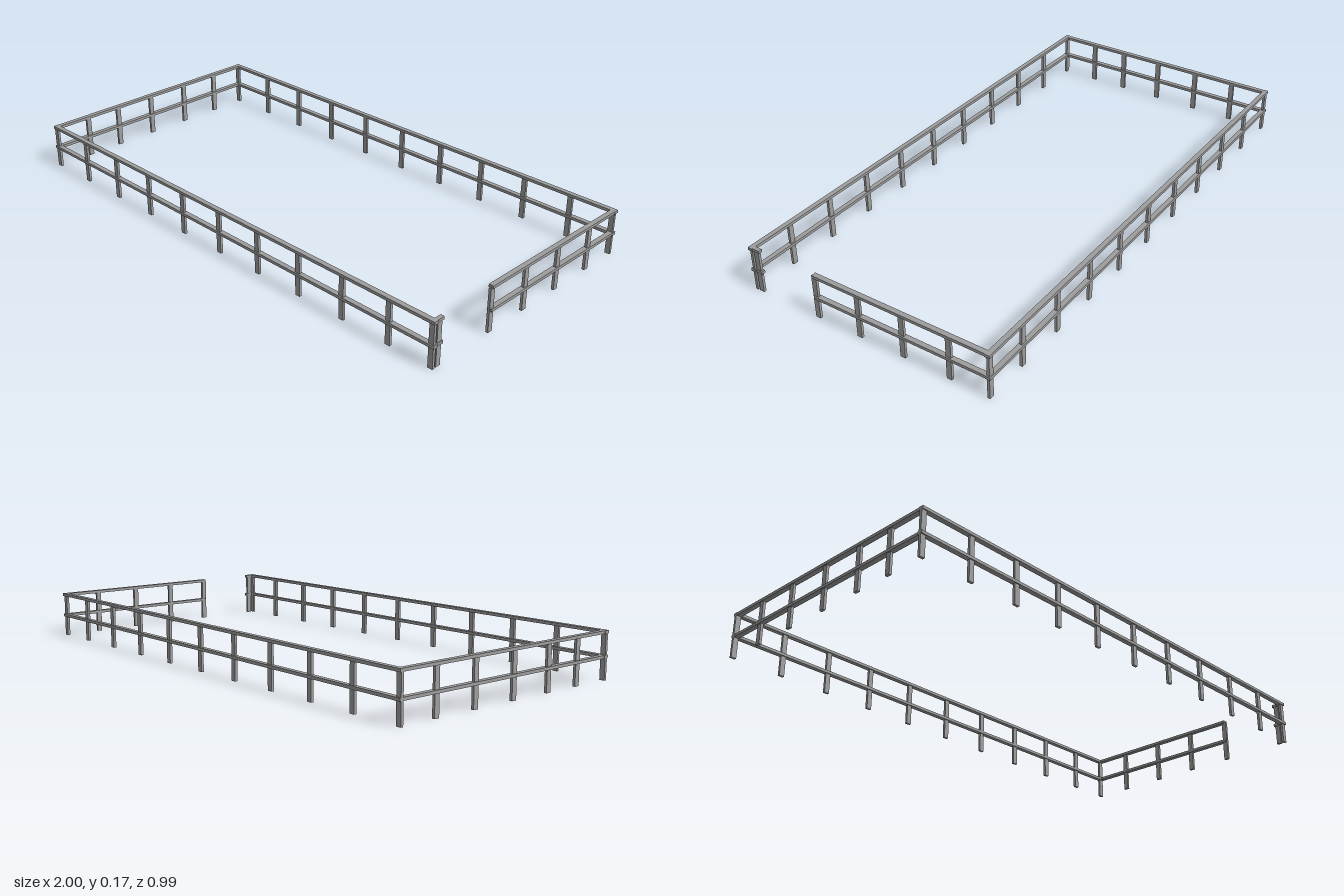
import * as THREE from 'three';

// Rectangular rail fence with a gateway near the front of the +x side
export function createModel() {
  const model = new THREE.Group();
  const material = new THREE.MeshStandardMaterial({ color: 0x9d9d9d, flatShading: true });

  function box(name, parent, x, y, z, w, h, d) {
    const mesh = new THREE.Mesh(new THREE.BoxGeometry(w, h, d), material);
    mesh.name = name;
    mesh.position.set(x, y, z);
    parent.add(mesh);
  }

  const railW = 0.019, railH = 0.011, postW = 0.02, postT = 0.01, postH = 0.165;
  const sideX = 0.989, sideZ = 0.487;
  const rails = [['topRail', 0.169], ['middleRail', 0.083]];

  // Long sides: rails and posts that are wide along x
  for (const s of [1, -1]) {
    const side = new THREE.Group();
    side.name = s > 0 ? 'frontFence' : 'backFence';
    for (const [name, y] of rails) box(name, side, 0, y, s * sideZ, 2, railH, railW);
    for (let i = 0; i < 11; i++) {
      const x = i < 10 ? -0.99 + i * 0.2003 : 0.986;
      box('post', side, x, postH / 2, s * sideZ, postW, postH, postT);
    }
    model.add(side);
  }

  // Short runs: rails from z0 to z1 and posts that are wide along z
  function shortRun(name, x, z0, z1, width, postZs) {
    const side = new THREE.Group();
    side.name = name;
    for (const [rail, y] of rails) box(rail, side, x, y, (z0 + z1) / 2, width, railH, z1 - z0);
    for (const z of postZs) box('post', side, x, postH / 2, z, postT, postH, postW);
    model.add(side);
  }
  const inner = sideZ - railW / 2;
  shortRun('rightFence', -sideX, -inner, inner, railW, [-0.336, -0.164, 0.016, 0.188, 0.338]);
  shortRun('leftFence', sideX, -inner, 0.212, railW, [-0.336, -0.152, 0.027, 0.207]);
  shortRun('gateEnd', sideX + 0.001, 0.449, inner, 0.015, [0.465]);

  return model;
}
